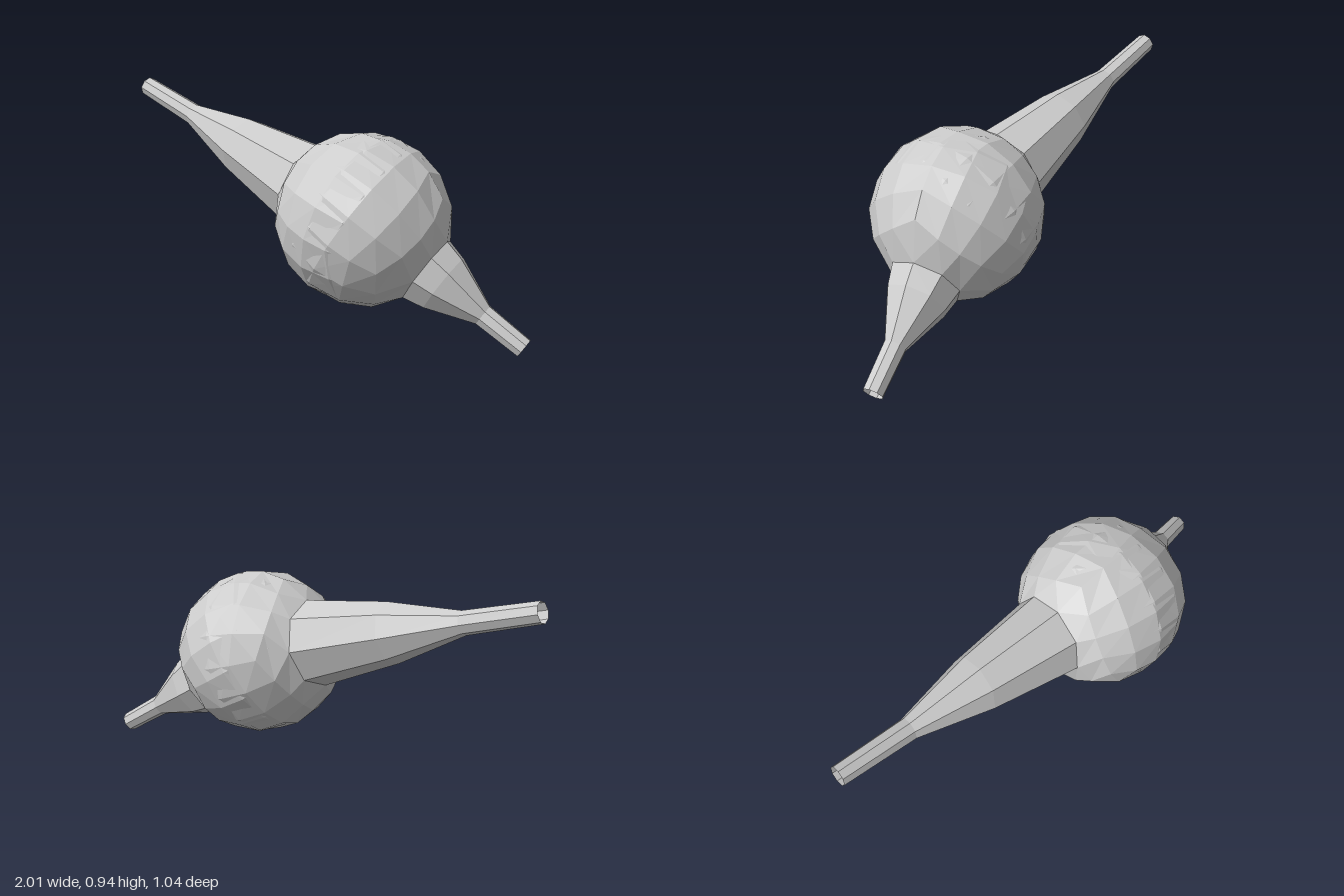
import * as THREE from 'three';

const material = new THREE.MeshStandardMaterial({ color: 0xcccccc, flatShading: true, side: THREE.DoubleSide });

// Faceted sphere from a subdivided cube; the middle of its +z face is left open as an octagon
function bulbGeometry(radius, neckAngle) {
  const src = new THREE.BoxGeometry(1, 1, 1, 4, 4, 4).toNonIndexed().attributes.position;
  const out = [];
  const v = new THREE.Vector3();
  const onNeckFace = (i) => src.getZ(i) > 0.49;
  for (let i = 0; i < src.count; i += 3) {
    const cx = (src.getX(i) + src.getX(i + 1) + src.getX(i + 2)) / 3;
    const cy = (src.getY(i) + src.getY(i + 1) + src.getY(i + 2)) / 3;
    const flat = [0, 1, 2].every((k) => onNeckFace(i + k));
    if (flat && Math.max(Math.abs(cx), Math.abs(cy)) < 0.25) continue;
    for (let k = 0; k < 3; k++) {
      v.fromBufferAttribute(src, i + k);
      if (onNeckFace(i + k) && Math.max(Math.abs(v.x), Math.abs(v.y)) < 0.26) {
        // Round the opening so that it meets the neck
        const a = Math.atan2(v.y, v.x);
        v.set(Math.cos(a) * Math.sin(neckAngle), Math.sin(a) * Math.sin(neckAngle), Math.cos(neckAngle));
      } else {
        v.set(...v.toArray().map((c) => Math.tan(c * Math.PI / 2))).normalize();
      }
      out.push(v.x * radius, v.y * radius, v.z * radius);
    }
  }
  const geometry = new THREE.BufferGeometry();
  geometry.setAttribute('position', new THREE.Float32BufferAttribute(out, 3));
  geometry.computeVertexNormals();
  return geometry;
}

// Eight-sided open neck along +z; profile lists [radius, distance]
function neckGeometry(profile) {
  const points = profile.map(([r, d]) => new THREE.Vector2(r, d));
  return new THREE.LatheGeometry(points, 8).rotateX(Math.PI / 2);
}

// One bulb with its neck, turned so the neck follows the axis and a cube corner points up
function createHalf(name, center, axis, radius, neckAngle, rings) {
  const half = new THREE.Group();
  half.name = name;
  const bulb = new THREE.Mesh(bulbGeometry(radius, neckAngle), material);
  bulb.name = name + 'Bulb';
  const base = [radius * Math.sin(neckAngle), radius * Math.cos(neckAngle)];
  const neck = new THREE.Mesh(neckGeometry([base, ...rings]), material);
  neck.name = name + 'Neck';
  half.add(bulb, neck);

  const z = new THREE.Vector3(...axis).normalize();
  const x = new THREE.Vector3(0, 1, 0).cross(z).normalize();
  const y = z.clone().cross(x);
  const turn = new THREE.Matrix4().makeBasis(x, y, z);
  turn.multiply(new THREE.Matrix4().makeRotationZ(Math.PI / 4));
  half.quaternion.setFromRotationMatrix(turn);
  half.position.set(...center);
  return half;
}

export function createModel() {
  const model = new THREE.Group();
  model.name = 'twoNeckedBulb';
  model.add(
    // Short neck, down to the left
    createHalf('shortHalf', [0.275, 0.49, 0.15], [0.83, -0.53, 0.17], 0.375, 0.45,
      [[0.14, 0.43], [0.05, 0.64], [0.045, 0.855]]),
    // Long neck, up and back to the right
    createHalf('longHalf', [0.255, 0.495, 0.145], [-0.86, 0.275, -0.43], 0.375, 0.55,
      [[0.135, 0.74], [0.052, 1.09], [0.046, 1.44]])
  );
  return model;
}
